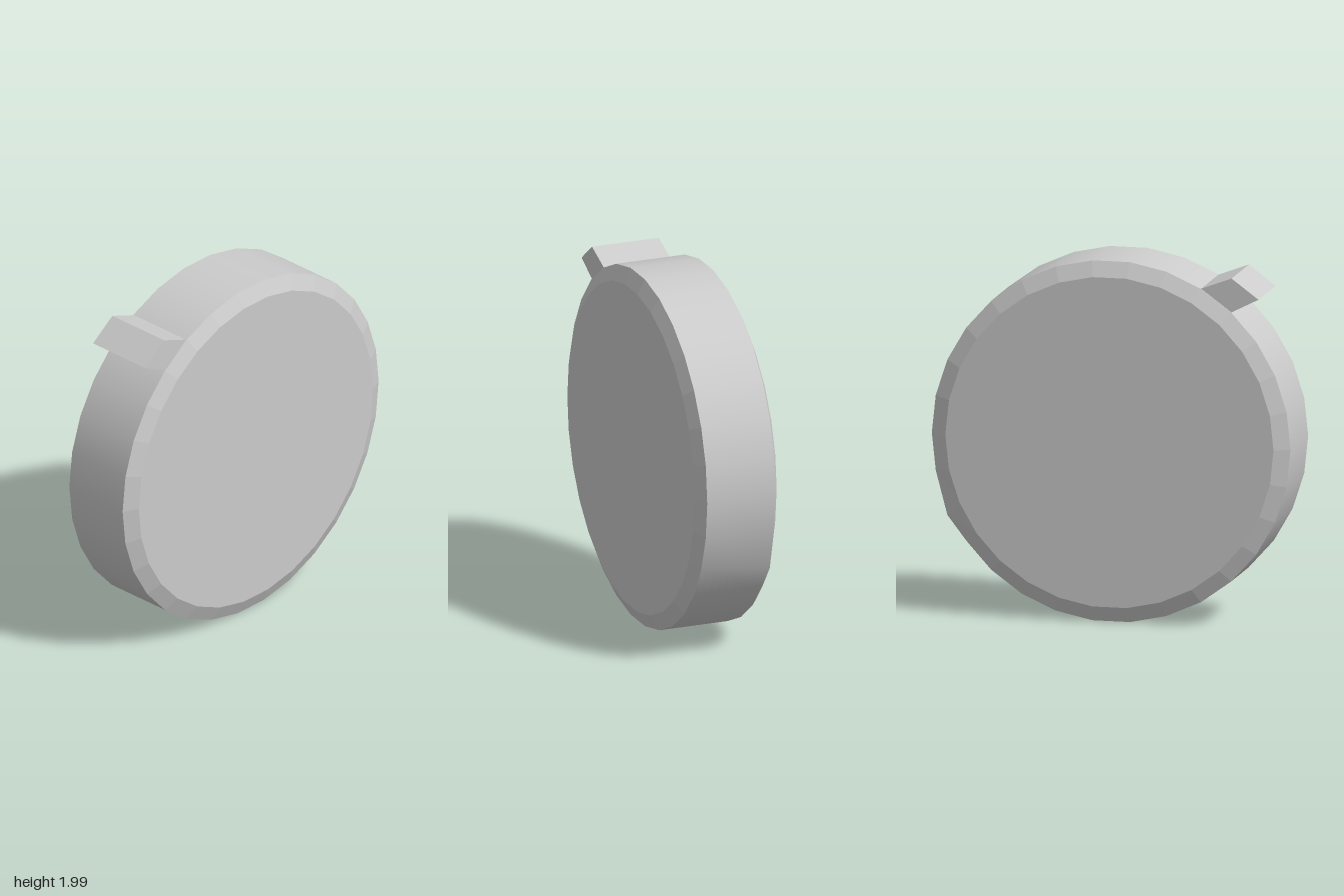
import * as THREE from 'three';

const SIDES = 30;
const CENTRE_Y = Math.cos(Math.PI / SIDES);
const RIM_Z = 0.2, FACE_Z = 0.24, FACE_R = 0.915;

const material = (flatShading) =>
  new THREE.MeshStandardMaterial({ color: 0xcccccc, flatShading, side: THREE.DoubleSide });

// Open ring around the z axis, from zBack to zFront, with a corner on +x
function ring(rFront, rBack, zBack, zFront) {
  const g = new THREE.CylinderGeometry(rFront, rBack, zFront - zBack, SIDES, 1, true, Math.PI / 2);
  g.rotateX(Math.PI / 2);
  g.translate(0, 0, (zFront + zBack) / 2);
  return g;
}

// One corner of the back rim is pulled slightly down
function nudgeRim(g) {
  const a = -2 * Math.PI / SIDES * 2;
  const p = g.attributes.position;
  const target = new THREE.Vector3(Math.cos(a), Math.sin(a), -RIM_Z);
  const v = new THREE.Vector3();
  for (let i = 0; i < p.count; i++) {
    if (v.fromBufferAttribute(p, i).distanceTo(target) < 0.01) p.setY(i, v.y - 0.045);
  }
  return g;
}

export function createModel() {
  const model = new THREE.Group();
  const disc = new THREE.Group();
  disc.name = 'disc';
  disc.position.y = CENTRE_Y;
  model.add(disc);

  const add = (name, geometry, flat) => {
    const mesh = new THREE.Mesh(geometry, material(flat));
    mesh.name = name;
    disc.add(mesh);
    return mesh;
  };

  // Smooth outer wall
  add('outerWall', nudgeRim(ring(1, 1, -RIM_Z, RIM_Z)), false);

  // Faceted bevels and flat faces
  add('frontBevel', ring(FACE_R, 1, RIM_Z, FACE_Z), true);
  add('backBevel', nudgeRim(ring(1, FACE_R, -FACE_Z, -RIM_Z)), true);
  const face = new THREE.CircleGeometry(FACE_R, SIDES);
  add('frontFace', face, true).position.z = FACE_Z;
  const back = add('backFace', face, true);
  back.rotation.y = Math.PI;
  back.position.z = -FACE_Z;

  // Tab standing out from one panel of the wall
  const corner = (deg) => new THREE.Vector2().setFromPolar
    ? null
    : new THREE.Vector2(Math.cos(deg * Math.PI / 180), Math.sin(deg * Math.PI / 180));
  const outline = new THREE.Shape([
    corner(120),
    new THREE.Vector2(-0.67, 1.925 - CENTRE_Y),
    new THREE.Vector2(-0.82, 1.815 - CENTRE_Y),
    corner(132),
  ]);
  const tab = new THREE.ExtrudeGeometry(outline, { depth: 0.39, bevelEnabled: false });
  tab.translate(0, 0, -0.195);
  add('tab', tab, true);

  return model;
}
